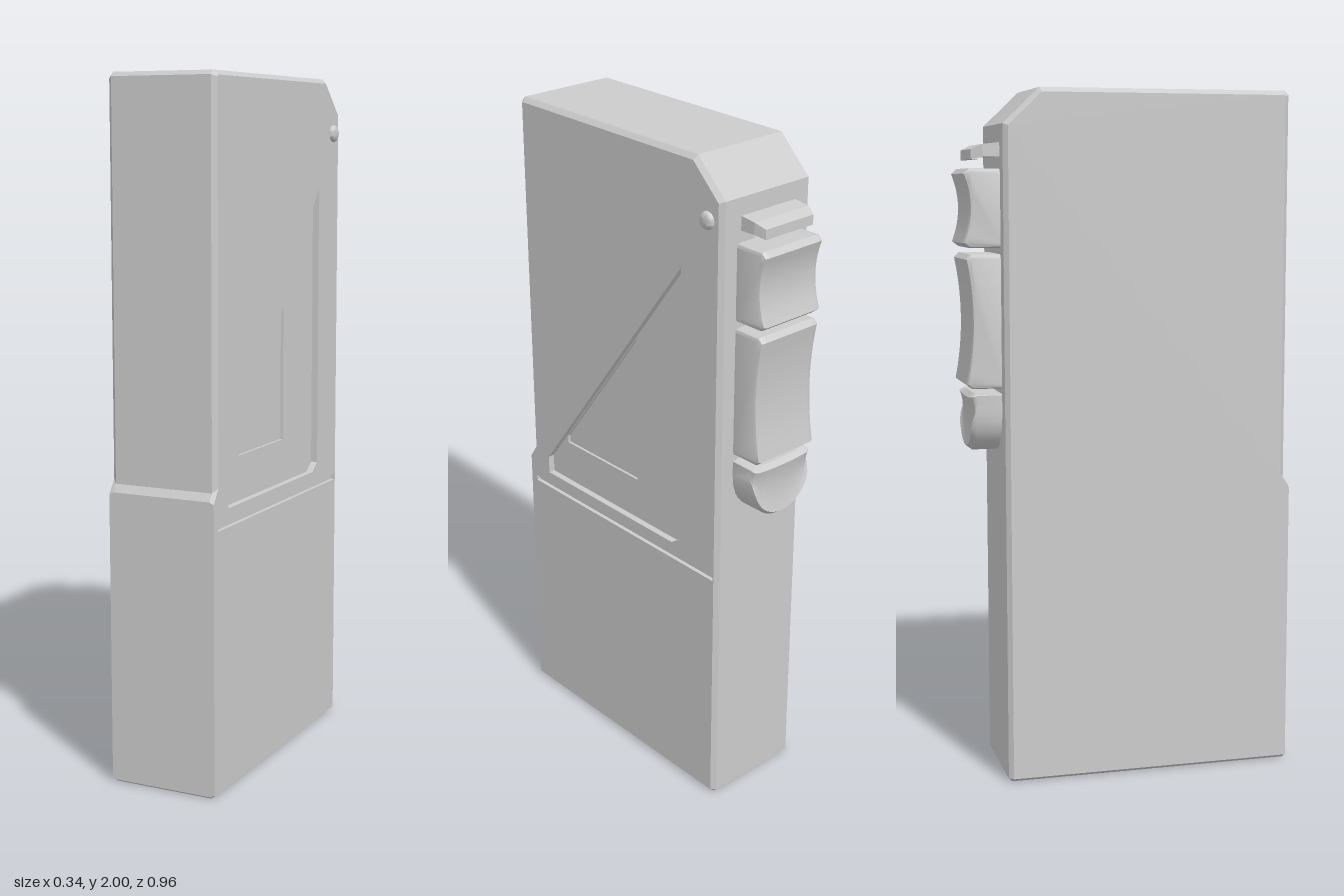
import * as THREE from 'three';
import { mergeGeometries, toCreasedNormals } from 'three/addons/utils/BufferGeometryUtils.js';

const material = new THREE.MeshStandardMaterial({ color: 0xcccccc });
const MID = -0.007; // centre plane of the case in x

// Outlines are [a, y] with a = -z, counter-clockwise seen from +x; depth runs along x.
const vec = (pts) => pts.map(([a, y]) => new THREE.Vector2(a, y));

function mesh(name, geometry, crease = 0.5) {
  const m = new THREE.Mesh(toCreasedNormals(geometry, crease), material);
  m.name = name;
  return m;
}

// Strip of quads joining two outlines at depths c0 and c1
function band(p, c0, q, c1) {
  const pos = [];
  p.forEach(([a, y], i) => {
    const j = (i + 1) % p.length;
    const A = [a, y, c0], B = [...p[j], c0], C = [...q[j], c1], D = [...q[i], c1];
    pos.push(...A, ...B, ...C, ...A, ...C, ...D);
  });
  const g = new THREE.BufferGeometry();
  g.setAttribute('position', new THREE.Float32BufferAttribute(pos, 3));
  return g;
}

// Flat face with optional holes, facing +x
function face(pts, c, holes = []) {
  const s = new THREE.Shape(vec(pts));
  s.holes = holes.map((h) => new THREE.Path(vec(h).reverse()));
  const g = new THREE.ShapeGeometry(s).toNonIndexed().translate(0, 0, c);
  g.deleteAttribute('uv');
  g.deleteAttribute('normal');
  return g;
}

// Flat face facing -x
const backFace = (pts, c) => face(pts.map(([a, y]) => [-a, y]).reverse(), -c).rotateY(Math.PI);

// Move each edge of an outline inwards by its own amount
function inset(pts, amounts) {
  const n = pts.length;
  const normals = pts.map(([a, y], i) => {
    const [b, z] = pts[(i + 1) % n];
    const l = Math.hypot(b - a, z - y);
    return [(y - z) / l, (b - a) / l];
  });
  return pts.map(([a, y], i) => {
    const k = (i + n - 1) % n;
    const [ax, ay] = normals[k], [bx, by] = normals[i];
    const det = ax * by - ay * bx;
    return [a + (amounts[k] * by - amounts[i] * ay) / det, y + (ax * amounts[i] - bx * amounts[k]) / det];
  });
}

// Chamfered case with a stepped recess and a groove on its left side
function createCase() {
  const L = -0.171, R = 0.157, ch = 0.013;
  const outline = [[-0.475, 0], [0.365, 0], [0.375, 0.01], [0.375, 1.9], [0.27, 2], [-0.453, 2],
    [-0.465, 1.988], [-0.465, 0.87], [-0.48, 0.848], [-0.48, 0.005]];
  const inner = inset(outline, [0.01, 0.01, ch, ch, ch, ch, ch, 0.004, 0, 0.005]);
  const recess = [[-0.39, 0.815], [0.185, 0.815], [0.22, 0.84], [0.22, 1.68], [-0.39, 0.87]];
  const pocket = [[-0.314, 0.944], [0.01, 0.944], [0.01, 1.396], [-0.314, 0.966]];
  const groove = [[-0.455, 0.762], [0.358, 0.762], [0.358, 0.778], [-0.455, 0.778]];
  const d1 = R - 0.02, d2 = R - 0.028, d3 = R - 0.012;
  const shell = mergeGeometries([
    backFace(inner, L),
    band(inner, L, outline, L + ch),
    band(outline, L + ch, outline, R - ch),
    band(outline, R - ch, inner, R),
    face(inner, R, [recess, groove]),
  ]);
  const sunken = mergeGeometries([
    band(recess, R, recess, d1), face(recess, d1, [pocket]),
    band(pocket, d1, pocket, d2), face(pocket, d2),
  ]);
  const slot = mergeGeometries([band(groove, R, groove, d3), face(groove, d3)]);
  const g = new THREE.Group();
  g.name = 'case';
  g.add(mesh('shell', shell.rotateY(Math.PI / 2), 0.1),
    mesh('sideRecess', sunken.rotateY(Math.PI / 2), 0.1),
    mesh('sideGroove', slot.rotateY(Math.PI / 2), 0.1));
  return g;
}

// Key on the back: side outline with a bevelled extrusion across the width
function keyGeometry(top, bottom, outer, mid, half = 0.108, bevel = 0.012) {
  const b = bevel, lo = bottom + b, hi = top - b;
  const s = new THREE.Shape();
  s.moveTo(0.37, lo);
  s.lineTo(outer - b - 0.008, lo);
  s.lineTo(outer - b, lo + 0.006);
  s.quadraticCurveTo(2 * mid - outer - b, (lo + hi) / 2, outer - b, hi - 0.006);
  s.lineTo(outer - b - 0.006, hi);
  s.lineTo(0.37, hi);
  const depth = 2 * (half - b);
  return new THREE.ExtrudeGeometry(s, {
    depth, steps: 20, curveSegments: 12, bevelThickness: b, bevelSize: b, bevelSegments: 2,
  }).translate(0, 0, -depth / 2).rotateY(Math.PI / 2).translate(MID, 0, 0);
}

function createKeys() {
  const g = new THREE.Group();
  g.name = 'keys';
  g.add(mesh('upperKey', keyGeometry(1.777, 1.555, 0.478, 0.461)),
    mesh('middleKey', keyGeometry(1.537, 1.155, 0.474, 0.457)));

  // Lowest key: its lower end is drawn up towards the sides into a round end
  const round = keyGeometry(1.14, 0.967, 0.463, 0.455);
  const p = round.attributes.position;
  for (let i = 0; i < p.count; i++) {
    const u = Math.min(1, Math.abs(p.getX(i) - MID) / 0.108);
    const f = 0.3 + 0.7 * Math.sqrt(1 - u * u);
    p.setY(i, 1.14 - (1.14 - p.getY(i)) * f);
  }
  g.add(mesh('roundedKey', round, 0.7));

  // Slim ledge above the keys, narrowing towards its outer edge
  const ledge = new THREE.ExtrudeGeometry(
    new THREE.Shape(vec([[0.37, 1.81], [0.42, 1.81], [0.435, 1.802], [0.454, 1.802], [0.454, 1.83],
      [0.425, 1.844], [0.37, 1.85]])),
    { depth: 0.198, bevelEnabled: false },
  ).translate(0, 0, -0.099).rotateY(Math.PI / 2);
  const q = ledge.attributes.position;
  for (let i = 0; i < q.count; i++) {
    if (q.getZ(i) < -0.45) q.setX(i, q.getX(i) * 0.88);
  }
  g.add(mesh('ledge', ledge.translate(-0.011, 0, 0), 0.2));
  return g;
}

// Small domed stud near the top of the left side
function createStud() {
  const profile = vec([[0.025, 0], [0.025, 0.005], [0.022, 0.01], [0.015, 0.014], [0, 0.0155]]);
  const stud = mesh('stud', new THREE.LatheGeometry(profile, 24).rotateZ(-Math.PI / 2), 0.6);
  stud.position.set(0.156, 1.84, -0.322);
  return stud;
}

export function createModel() {
  const model = new THREE.Group();
  model.name = 'handheldDevice';
  model.add(createCase(), createKeys(), createStud());
  return model;
}
